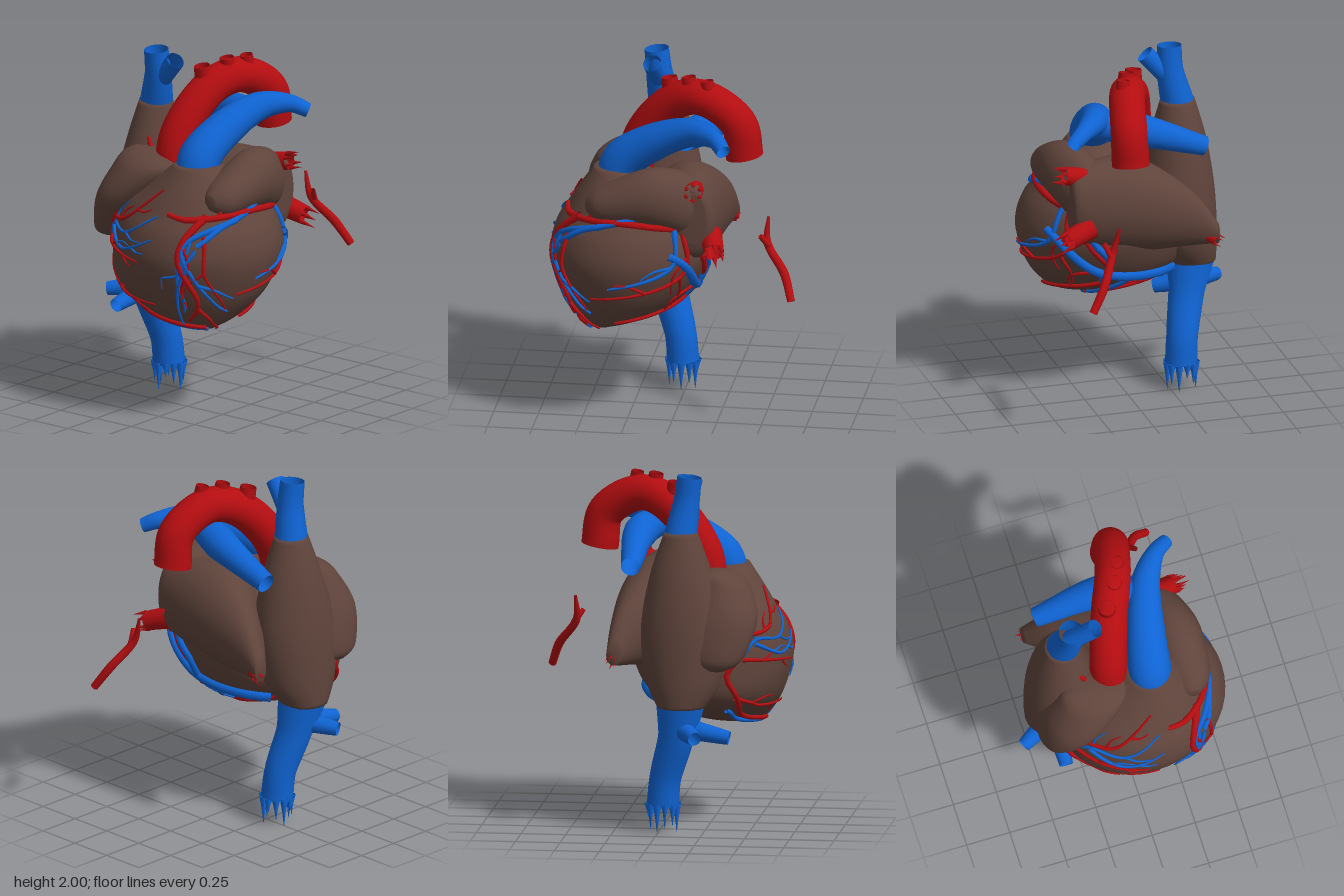
import * as THREE from 'three';

const mat = (name, color, side) => new THREE.MeshStandardMaterial({ name, color, side });
const muscle = mat('muscle brown', 0x5f443b, THREE.FrontSide);
const artery = mat('artery red', 0xb30d10, THREE.DoubleSide);
const vein = mat('vein blue', 0x0f63d2, THREE.DoubleSide);

// Smooth interpolation of section rows [t, a0, a1, b0, b1] at parameter u
function rowAt(rows, u) {
  const i = Math.min(Math.floor(u), rows.length - 2), f = u - i;
  const R = k => rows[THREE.MathUtils.clamp(k, 0, rows.length - 1)];
  return rows[i].map((p1, c) => {
    const p2 = R(i + 1)[c], m1 = (p2 - R(i - 1)[c]) / 2, m2 = (R(i + 2)[c] - p1) / 2, d = p1 - p2;
    return p1 + f * (m1 + f * (-3 * d - 2 * m1 - m2 + f * (2 * d + m1 + m2)));
  });
}

// Elliptical sections stacked along one axis, closed at both ends
function loft(group, name, axis, rows) {
  const pos = [], idx = [], sides = 48, sub = 6, n = (rows.length - 1) * sub;
  const ring = ([t, a0, a1, b0, b1], s) => {
    for (let j = 0; j < sides; j++) {
      const th = (j / sides) * Math.PI * 2;
      const a = (a0 + a1) / 2 + s * (a1 - a0) / 2 * Math.sin(th);
      const b = (b0 + b1) / 2 + s * (b1 - b0) / 2 * Math.cos(th);
      pos.push(...(axis === 'y' ? [a, t, b] : axis === 'x' ? [t, a, b] : [a, b, t]));
    }
  };
  ring(rows[0], 0);
  for (let i = 0; i <= n; i++) ring(rowAt(rows, i / sub), 1);
  ring(rows[rows.length - 1], 0);
  for (let i = 0; i < n + 2; i++) for (let j = 0; j < sides; j++) {
    const k = (j + 1) % sides, a = i * sides + j, b = i * sides + k, c = a + sides, d = b + sides;
    if (axis === 'y') idx.push(a, b, c, b, d, c); else idx.push(a, c, b, b, c, d);
  }
  const g = new THREE.BufferGeometry();
  g.setAttribute('position', new THREE.Float32BufferAttribute(pos, 3));
  g.setIndex(idx);
  g.computeVertexNormals();
  const m = new THREE.Mesh(g, muscle);
  m.name = name;
  group.add(m);
}

// Tube through points [x, y, z, radius]
function tube(group, name, material, pts, sides = 24, seg = 36) {
  const curve = new THREE.CatmullRomCurve3(pts.map(p => new THREE.Vector3(p[0], p[1], p[2])));
  const g = new THREE.TubeGeometry(curve, seg, 1, sides, false);
  const p = g.attributes.position, v = new THREE.Vector3();
  for (let i = 0; i <= seg; i++) {
    const c = curve.getPointAt(i / seg);
    const t = curve.getUtoTmapping(i / seg) * (pts.length - 1);
    const k = Math.min(Math.floor(t), pts.length - 2);
    const r = THREE.MathUtils.lerp(pts[k][3], pts[k + 1][3], t - k);
    for (let j = 0; j <= sides; j++) {
      const q = i * (sides + 1) + j;
      v.fromBufferAttribute(p, q).sub(c).multiplyScalar(r).add(c);
      p.setXYZ(q, v.x, v.y, v.z);
    }
  }
  const m = new THREE.Mesh(g, material);
  m.name = name;
  group.add(m);
}

// Torn points around the open end of a vessel
function fringe(group, name, material, c, dir, r, n, len) {
  const d = new THREE.Vector3(...dir).normalize();
  const e1 = new THREE.Vector3(0, 0, 1).cross(d).normalize(), e2 = d.clone().cross(e1);
  for (let i = 0; i < n; i++) {
    const th = (i / n) * Math.PI * 2;
    const a = new THREE.Vector3(...c).addScaledVector(e1, r * Math.cos(th)).addScaledVector(e2, r * Math.sin(th));
    const b = a.clone().addScaledVector(d, len * (1 - 0.25 * (i % 3)));
    tube(group, name, material, [[...a, r * 0.3], [...b, 0.001]], 6, 2);
  }
}

const ventricleRows = [
  [0.545, 0.14, 0.3, 0.33, 0.46], [0.61, -0.15, 0.39, 0.1, 0.56], [0.75, -0.38, 0.5, -0.1, 0.65],
  [0.95, -0.41, 0.56, -0.2, 0.7], [1.1, -0.39, 0.53, -0.19, 0.67], [1.2, -0.34, 0.46, -0.14, 0.61],
  [1.3, -0.2, 0.38, -0.03, 0.55], [1.45, 0.01, 0.24, 0.19, 0.45]];

// Point on the ventricles: mode f = front, b = back (a is x), s = left side (a is z)
function onVentricles(a, y, mode) {
  let lo = 0, hi = ventricleRows.length - 1;
  for (let i = 0; i < 25; i++) {
    const m = (lo + hi) / 2;
    if (rowAt(ventricleRows, m)[0] < y) lo = m; else hi = m;
  }
  const [, x0, x1, z0, z1] = rowAt(ventricleRows, lo);
  const cx = (x0 + x1) / 2, cz = (z0 + z1) / 2, rx = (x1 - x0) / 2, rz = (z1 - z0) / 2;
  const side = mode === 's';
  const s = THREE.MathUtils.clamp(side ? (a - cz) / rz : (a - cx) / rx, -0.98, 0.98);
  const c = Math.sqrt(1 - s * s), lift = 0.007, h = y < 0.72 ? y - lift : y;
  return side ? [cx + (rx + lift) * c, h, cz + (rz + lift) * s]
    : [cx + (rx + lift) * s, h, cz + (mode === 'b' ? -1 : 1) * (rz + lift) * c];
}

// Tapering vessel that follows the ventricle surface and sprouts side twigs
function coronary(group, name, material, mode, r, taper, twigs, path) {
  const flat = new THREE.SplineCurve(path.map(p => new THREE.Vector2(...p)));
  const pts = [];
  for (let i = 0; i <= 14; i++) {
    const p = flat.getPoint(i / 14);
    pts.push([...onVentricles(p.x, Math.max(p.y, 0.555), mode), r * (1 + (taper - 1) * i / 14)]);
  }
  tube(group, name, material, pts, 8, 28);
  for (let k = 1; k <= twigs; k++) {
    const f = k / (twigs + 1), turn = k % 2 ? 0.75 : -0.75, len = flat.getLength() * (0.34 - 0.14 * f);
    const p = flat.getPoint(f), d = flat.getTangent(f).multiplyScalar(len / 2).rotateAround(new THREE.Vector2(), turn);
    const mid = p.clone().add(d), tip = mid.clone().add(d.rotateAround(new THREE.Vector2(), -turn * 0.6));
    coronary(group, name + 'Twig', material, mode, r * 0.6, 0.4, 0, [p.toArray(), mid.toArray(), tip.toArray()]);
  }
}

export function createModel() {
  const heart = new THREE.Group();
  heart.name = 'heart';

  // Muscle chambers
  loft(heart, 'ventricles', 'y', ventricleRows);
  loft(heart, 'rightAtrium', 'y', [
    [0.72, -0.545, -0.27, 0, 0.27], [0.87, -0.55, -0.16, -0.07, 0.36], [1.15, -0.535, -0.12, -0.1, 0.39],
    [1.45, -0.485, -0.17, -0.05, 0.3], [1.69, -0.42, -0.23, 0.03, 0.215]]);
  loft(heart, 'rightAuricle', 'y', [
    [0.935, -0.5, -0.44, 0.3, 0.38], [1.0, -0.535, -0.36, 0.18, 0.48], [1.2, -0.5, -0.18, 0.15, 0.55],
    [1.37, -0.42, -0.03, 0.17, 0.5], [1.44, -0.38, -0.06, 0.2, 0.43], [1.47, -0.32, -0.2, 0.26, 0.34]]);
  loft(heart, 'leftAtrium', 'x', [
    [-0.45, 0.95, 1.07, -0.28, -0.2], [-0.3, 0.93, 1.27, -0.28, -0.07], [0, 0.9, 1.45, -0.28, 0.15],
    [0.32, 0.99, 1.44, -0.25, 0.02], [0.38, 1.1, 1.38, -0.21, -0.07]]);
  loft(heart, 'leftAuricle', 'z', [
    [-0.18, 0.22, 0.34, 1.2, 1.4], [-0.08, 0.16, 0.42, 1.13, 1.48], [0.12, 0.19, 0.475, 1.18, 1.51],
    [0.38, 0.23, 0.45, 1.19, 1.4], [0.47, 0.3, 0.37, 1.25, 1.33]]);

  // Aorta and the three stubs on its arch
  tube(heart, 'aorta', artery, [
    [-0.1, 1.25, 0.27, 0.1], [-0.09, 1.55, 0.215, 0.105], [-0.02, 1.79, 0.02, 0.103],
    [0.05, 1.84, -0.15, 0.1], [0.1, 1.72, -0.35, 0.102], [0.1, 1.53, -0.385, 0.105]], 32, 56);
  for (const [x, y, z, r] of [[-0.05, 1.92, 0.06, 0.045], [0.03, 1.955, -0.06, 0.04], [0.08, 1.955, -0.17, 0.036]])
    tube(heart, 'archBranch', artery, [[x + 0.01, y - 0.12, z - 0.02, r * 1.3], [x, y, z, r]], 16, 6);

  // Pulmonary trunk and its branch to the other side
  tube(heart, 'pulmonaryTrunk', vein, [
    [0.12, 1.36, 0.335, 0.115], [0.125, 1.48, 0.29, 0.12], [0.16, 1.61, 0.11, 0.105],
    [0.23, 1.7, -0.11, 0.08], [0.33, 1.7, -0.25, 0.05], [0.41, 1.66, -0.31, 0.04]], 28, 48);
  tube(heart, 'rightPulmonaryArtery', vein, [
    [0.2, 1.66, -0.06, 0.08], [-0.03, 1.63, -0.14, 0.095], [-0.4, 1.5, -0.15, 0.055]]);

  // Upper great vein
  tube(heart, 'upperVenaCava', vein, [[-0.325, 1.66, 0.12, 0.095], [-0.29, 1.86, 0.15, 0.073], [-0.29, 1.995, 0.165, 0.068]]);
  tube(heart, 'upperVenaCavaBranch', vein, [[-0.29, 1.8, 0.14, 0.055], [-0.15, 1.955, 0.17, 0.052]], 16, 12);

  // Lower great vein, its side stubs and torn end
  tube(heart, 'lowerVenaCava', vein, [
    [-0.405, 0.75, 0.13, 0.138], [-0.37, 0.54, 0.1, 0.1], [-0.325, 0.3, 0.035, 0.088], [-0.315, 0.15, 0.02, 0.09]]);
  fringe(heart, 'lowerVenaCavaEnd', vein, [-0.315, 0.16, 0.02], [0, -1, 0], 0.08, 11, 0.16);
  for (const [x, y, z] of [[-0.585, 0.57, 0.23], [-0.39, 0.545, 0.4], [-0.21, 0.55, 0.2]])
    tube(heart, 'hepaticStub', vein, [[-0.38, 0.6, 0.12, 0.07], [x, y, z, 0.038]], 14, 12);

  // Pulmonary veins with torn ends
  for (const [a, b, r] of [
    [[0.28, 1.38, -0.13], [0.41, 1.41, -0.14], 0.05], [[0.28, 1.12, -0.22], [0.42, 1.07, -0.26], 0.055],
    [[-0.36, 1.02, -0.23], [-0.43, 0.98, -0.25], 0.032]]) {
    tube(heart, 'pulmonaryVein', artery, [[...a, r * 1.2], [...b, r]], 16, 6);
    fringe(heart, 'pulmonaryVeinEnd', artery, b, b.map((v, i) => v - a[i]), r * 0.85, 6, r * 1.5);
  }

  // Loose vessel behind the heart, and twigs on the right atrium and left auricle
  tube(heart, 'looseVessel', artery, [
    [0.21, 1.22, -0.535, 0.008], [0.25, 1.08, -0.535, 0.022], [0.33, 0.93, -0.64, 0.025], [0.41, 0.8, -0.69, 0.022]], 10);
  tube(heart, 'looseVesselBranch', artery, [[0.26, 1.06, -0.55, 0.02], [0.29, 1.13, -0.5, 0.014]], 10, 4);
  tube(heart, 'atrialTwig', artery, [[-0.22, 1.42, 0.28, 0.014], [-0.27, 1.51, 0.255, 0.013], [-0.35, 1.62, 0.16, 0.006]], 8, 14);
  tube(heart, 'auricleTwig', artery, [[0.38, 1.2, 0.46, 0.015], [0.4, 1.35, 0.37, 0.004]], 8, 10);

  // Coronary arteries
  const red = (...args) => coronary(heart, 'coronaryArtery', artery, ...args);
  red('f', 0.02, 0.7, 0, [[0.33, 1.21], [0.24, 1.2], [0.14, 1.22]]);
  red('f', 0.022, 0.4, 3, [[0.33, 1.22], [0.26, 1.02], [0.33, 0.75], [0.25, 0.62]]);
  red('f', 0.019, 0.6, 0, [[-0.28, 1.14], [-0.39, 0.87], [-0.2, 0.65], [0.3, 0.57]]);
  red('f', 0.012, 0.4, 2, [[-0.35, 0.76], [-0.2, 0.71], [0.08, 0.7]]);
  red('f', 0.012, 0.4, 2, [[-0.35, 0.98], [-0.2, 0.96], [0, 0.94]]);
  red('f', 0.014, 0.4, 2, [[-0.3, 1.11], [-0.15, 1.15], [0.06, 1.33]]);
  red('s', 0.019, 1, 0, [[0.57, 1.2], [0.24, 1.22], [-0.07, 1.17]]);
  red('s', 0.017, 0.35, 3, [[-0.06, 1.18], [-0.1, 0.97], [0.03, 0.86], [0.42, 0.78]]);
  red('s', 0.013, 0.4, 1, [[0.56, 1.12], [0.59, 0.92], [0.45, 0.7]]);
  red('s', 0.019, 0.45, 1, [[-0.12, 1.14], [-0.17, 0.92], [-0.06, 0.72], [0.3, 0.62]]);
  red('b', 0.014, 0.5, 1, [[-0.36, 0.76], [-0.1, 0.67], [0.2, 0.58]]);

  // Coronary veins
  const blue = (...args) => coronary(heart, 'coronaryVein', vein, ...args);
  blue('f', 0.013, 0.4, 2, [[-0.38, 0.95], [-0.28, 1.08], [-0.12, 1.08], [0.08, 1.2]]);
  blue('f', 0.012, 0.4, 2, [[-0.29, 1.06], [-0.13, 0.99], [0.09, 1.08]]);
  blue('f', 0.018, 0.4, 3, [[0.44, 1.19], [0.28, 1.07], [0.33, 0.9], [0.42, 0.68]]);
  blue('f', 0.013, 0.4, 1, [[0.31, 0.95], [0.24, 0.8], [0.2, 0.58]]);
  blue('f', 0.014, 0.7, 0, [[-0.3, 0.69], [-0.1, 0.605], [0.3, 0.56]]);
  blue('s', 0.016, 1.4, 0, [[0.6, 1.07], [0.42, 1.18], [-0.02, 1.25], [-0.19, 0.94], [-0.12, 0.78]]);
  blue('s', 0.018, 0.35, 1, [[-0.01, 1.24], [-0.02, 0.98], [0.32, 0.86]]);
  blue('s', 0.012, 0.6, 1, [[0.61, 1.05], [0.66, 0.9], [0.58, 0.68]]);
  blue('b', 0.022, 1.5, 1, [[0.47, 1.05], [0.2, 0.8], [-0.25, 0.73]]);
  blue('b', 0.016, 0.5, 1, [[0.02, 0.74], [0.1, 0.66], [0.2, 0.57]]);

  return heart;
}
